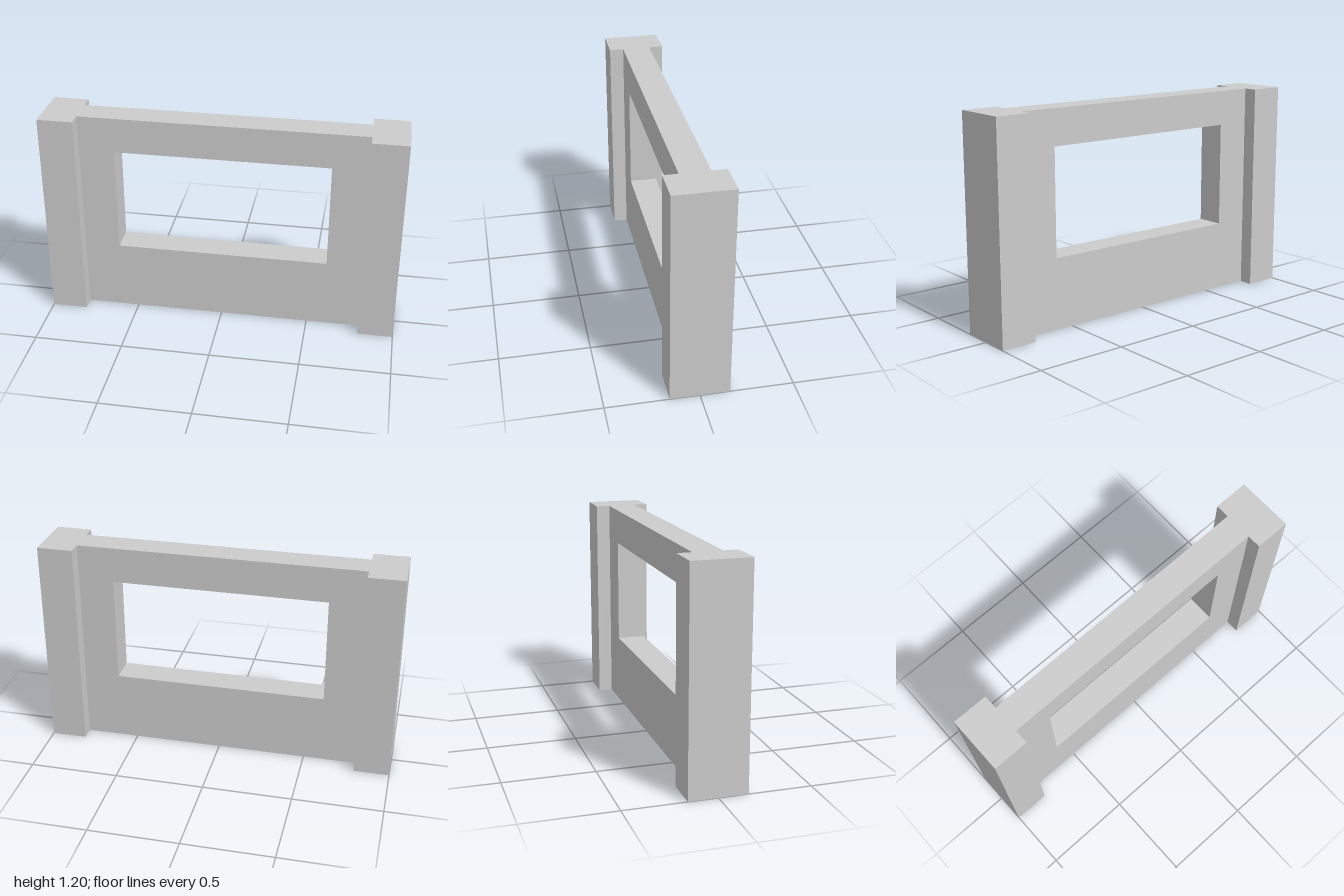
import * as THREE from 'three';

const HALF = 1, INNER = 0.8, HEIGHT = 1.2;    // overall half width, inner face of posts, height
const POST_Z = 0.16, WALL_Z = 0.08;           // half depths
const WIN_X = 0.6, SILL = 0.4, HEAD = 1;      // window opening

const material = new THREE.MeshStandardMaterial({
  color: 0xcccccc, flatShading: true, side: THREE.DoubleSide,
});

function addMesh(parent, name, geometry) {
  const mesh = new THREE.Mesh(geometry, material);
  mesh.name = name;
  parent.add(mesh);
  return mesh;
}

// Flat rectangle turned about x or y, then placed
function addPanel(parent, name, w, h, [x, y, z], turnY = 0, turnX = 0) {
  const g = new THREE.PlaneGeometry(w, h).rotateX(turnX).rotateY(turnY).translate(x, y, z);
  return addMesh(parent, name, g);
}

const polygon = (pts) => pts.map(([x, y]) => new THREE.Vector2(x, y));

export function createModel() {
  const model = new THREE.Group();
  model.name = 'windowWall';

  // Wall faces with the window opening cut out
  const face = new THREE.Shape(polygon([[-INNER, 0], [INNER, 0], [INNER, HEIGHT], [-INNER, HEIGHT]]));
  face.holes.push(new THREE.Path(polygon([[-WIN_X, SILL], [-WIN_X, HEAD], [WIN_X, HEAD], [WIN_X, SILL]])));
  addMesh(model, 'wallFront', new THREE.ShapeGeometry(face).translate(0, 0, WALL_Z));
  addMesh(model, 'wallBack', new THREE.ShapeGeometry(face).rotateY(Math.PI).translate(0, 0, -WALL_Z));

  // Top cap over wall and posts; the shell is open underneath
  const cap = new THREE.Shape(polygon([
    [-HALF, -POST_Z], [-INNER, -POST_Z], [-INNER, -WALL_Z], [INNER, -WALL_Z],
    [INNER, -POST_Z], [HALF, -POST_Z], [HALF, POST_Z], [INNER, POST_Z],
    [INNER, WALL_Z], [-INNER, WALL_Z], [-INNER, POST_Z], [-HALF, POST_Z],
  ]));
  addMesh(model, 'topCap', new THREE.ShapeGeometry(cap).rotateX(-Math.PI / 2).translate(0, HEIGHT, 0));

  // Window reveal
  const reveal = new THREE.Group();
  reveal.name = 'windowReveal';
  model.add(reveal);
  addPanel(reveal, 'sill', 2 * WIN_X, 2 * WALL_Z, [0, SILL, 0], 0, -Math.PI / 2);
  addPanel(reveal, 'head', 2 * WIN_X, 2 * WALL_Z, [0, HEAD, 0], 0, Math.PI / 2);

  for (const s of [-1, 1]) {
    const side = s > 0 ? 'left' : 'right';
    addPanel(reveal, side + 'Jamb', 2 * WALL_Z, HEAD - SILL, [s * WIN_X, (HEAD + SILL) / 2, 0], -s * Math.PI / 2);

    // End post: outer face, front and back faces, and the returns to the wall
    const post = new THREE.Group();
    post.name = side + 'Post';
    model.add(post);
    const mid = HEIGHT / 2;
    addPanel(post, 'postEnd', 2 * POST_Z, HEIGHT, [s * HALF, mid, 0], s * Math.PI / 2);
    for (const f of [-1, 1]) {
      const end = f > 0 ? 'Front' : 'Back';
      addPanel(post, 'post' + end, HALF - INNER, HEIGHT,
        [s * (HALF + INNER) / 2, mid, f * POST_Z], f > 0 ? 0 : Math.PI);
      addPanel(post, 'postReturn' + end, POST_Z - WALL_Z, HEIGHT,
        [s * INNER, mid, f * (POST_Z + WALL_Z) / 2], -s * Math.PI / 2);
    }
  }
  return model;
}
